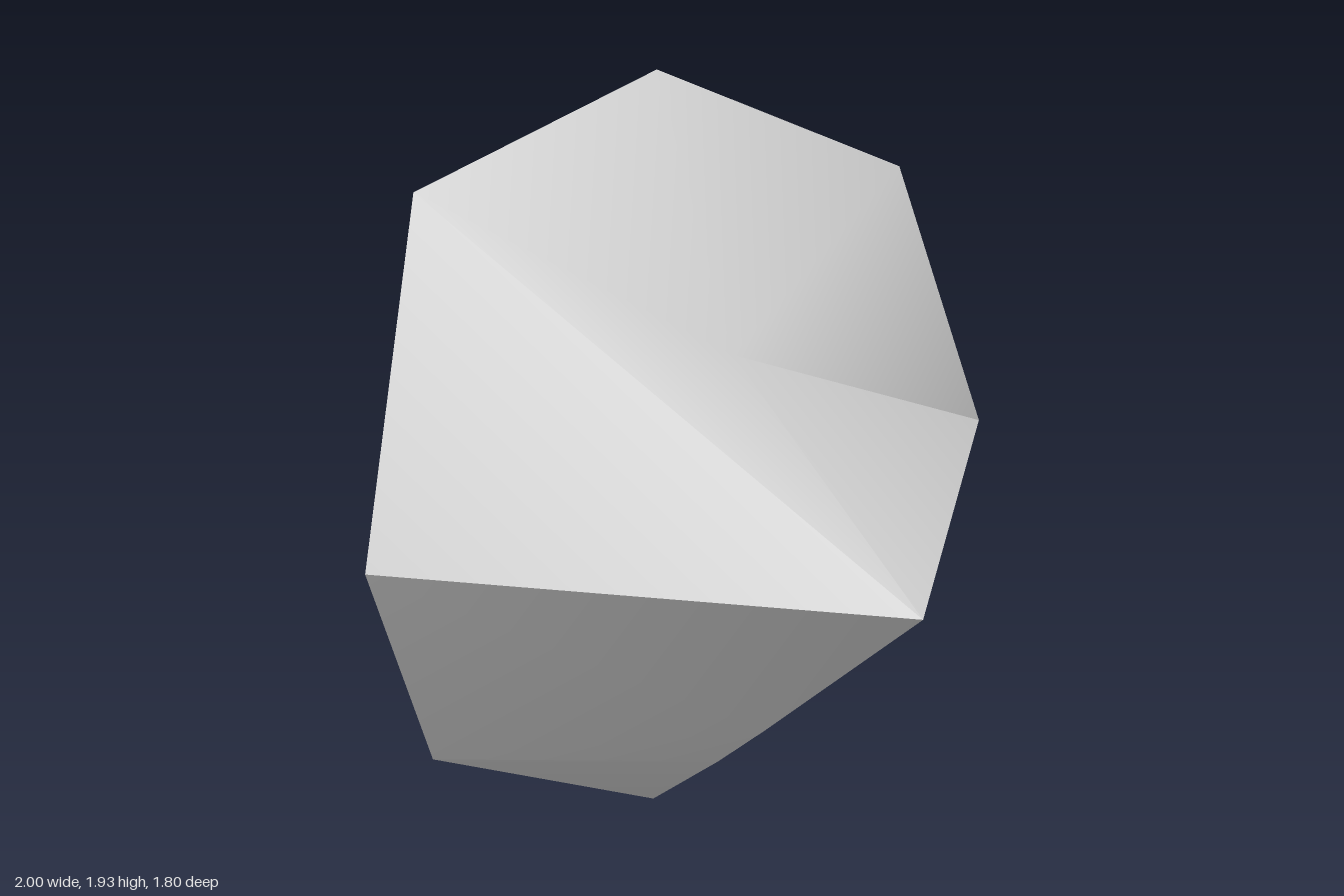
import * as THREE from 'three';
import { toCreasedNormals } from 'three/addons/utils/BufferGeometryUtils.js';

export function createModel() {
  const group = new THREE.Group();
  group.name = 'rock';
  const stoneGrey = new THREE.MeshStandardMaterial({ color: 0xcccccc });
  stoneGrey.name = 'stoneGrey';

  // Corners of the boulder
  const corners = {
    // outer ring, clockwise from the top
    A: [-0.06, 1.93, -0.16], B: [0.69, 1.62, -0.16], C: [1, 0.87, -0.16], D: [0.66, 0.34, -0.16],
    E: [-0.09, 0, -0.16], F: [-0.74, 0.3, -0.14], G: [-1, 0.92, 0.1], H: [-0.73, 1.71, -0.13],
    // front tip, the dent above it, and the keel and dent below it
    P: [-0.06, 0.87, 0.9], T: [-0.15, 1.34, 0.3],
    U: [-0.02, 0.34, 0.25], W: [-0.05, 0.2, 0.09], S: [0.15, 0.33, 0.14],
    // back ridge: top, notch, bottom
    Q: [-0.06, 1.62, -0.9], N: [-0.36, 0.95, -0.79], R: [-0.06, 0.13, -0.9],
  };

  // Facets, counter-clockwise from outside
  const upperFront = 'PCT TCB TBA TAH THP PHG';
  const lowerFront = 'PGU GFU FWU FEW PUS UWS WES SED SDC PSC';
  const back = 'ABQ AQH QBN BCN CRN CDR DER EFR QNG QGH NRG RFG';
  const positions = `${upperFront} ${lowerFront} ${back}`.split(' ')
    .flatMap((facet) => [...facet].flatMap((name) => corners[name]));

  const geometry = new THREE.BufferGeometry();
  geometry.setAttribute('position', new THREE.Float32BufferAttribute(positions, 3));
  // Soft shading across shallow edges, sharp at steep ones
  const boulder = new THREE.Mesh(toCreasedNormals(geometry, THREE.MathUtils.degToRad(50)), stoneGrey);
  boulder.name = 'boulder';
  group.add(boulder);
  return group;
}
